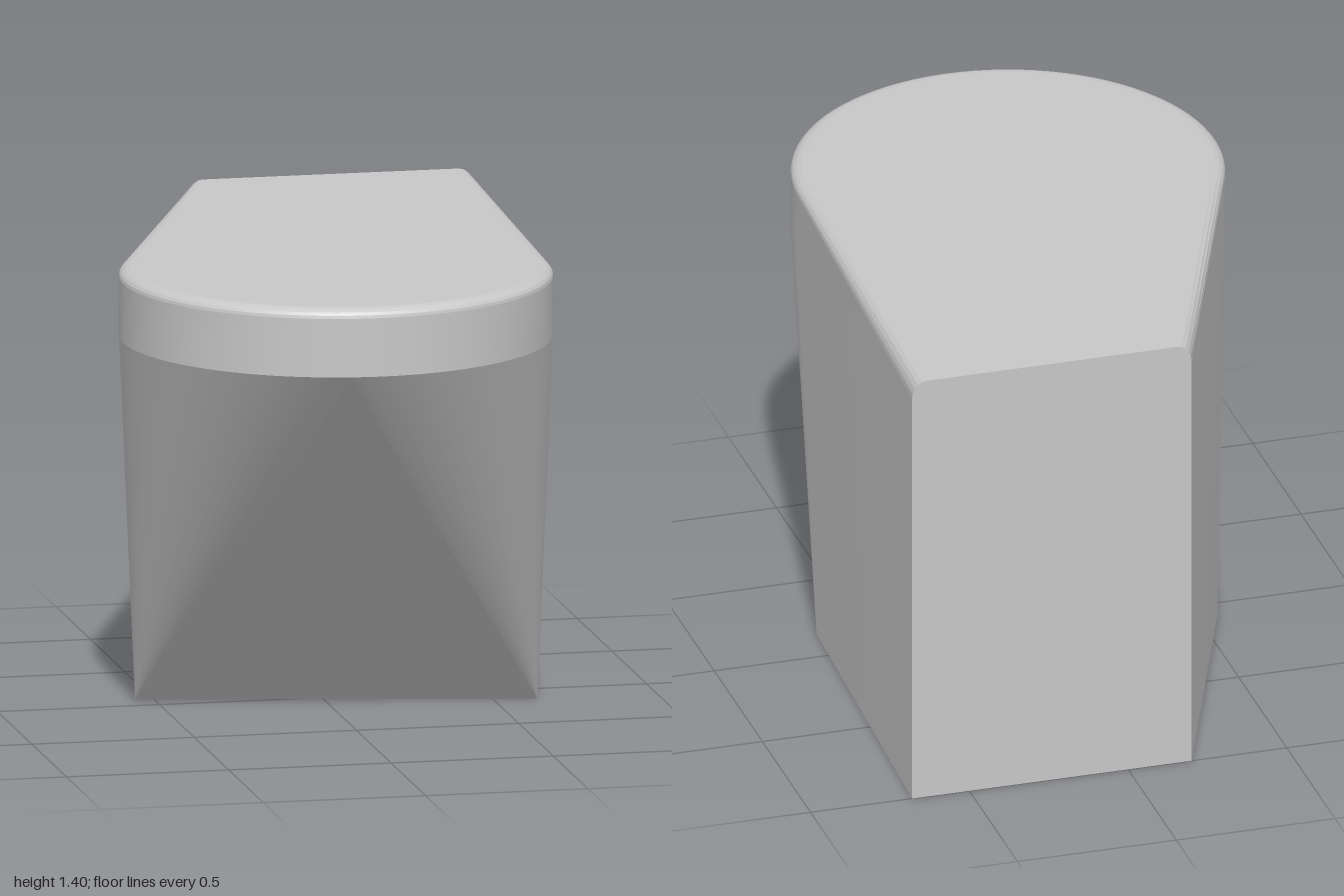
import * as THREE from 'three';
import { toCreasedNormals } from 'three/addons/utils/BufferGeometryUtils.js';

const TOP = 1.4, RIM = 1.19;
const CENTRE = [-0.03, 0.345], RADIUS = 0.655;
const ARC = 48, FILLET = 5;
const BACK_LEFT = [-0.2, -1], BACK_RIGHT = [0.68, -1];
const FOOT_LEFT = [-0.557, -0.09], FOOT_RIGHT = [0.632, 0.15];

// Outline of the top: two straight sides tangent to a round nose.
// Each point holds its position, inward direction, fillet height and foot point.
function makeOutline() {
  const pts = [{ p: BACK_LEFT, n: [1, 0], h: 0.055, foot: BACK_LEFT }];
  const start = THREE.MathUtils.degToRad(201.7), end = THREE.MathUtils.degToRad(2.3);
  // the arc point facing squarely out from the slanted foot edge divides the two fans
  const split = Math.PI / 2 + Math.atan2(FOOT_RIGHT[1] - FOOT_LEFT[1], FOOT_RIGHT[0] - FOOT_LEFT[0]);
  for (let i = 0; i <= ARC; i++) {
    const a = start + (end - start) * i / ARC;
    const c = Math.cos(a), s = Math.sin(a);
    pts.push({
      p: [CENTRE[0] + RADIUS * c, CENTRE[1] + RADIUS * s],
      n: [-c, -s], h: 0.03,
      foot: a > split ? FOOT_LEFT : FOOT_RIGHT,
    });
  }
  pts.push({ p: BACK_RIGHT, n: [-1, 0], h: 0.055, foot: BACK_RIGHT });
  return pts;
}

function bodyGeometry() {
  const outline = makeOutline();
  const inset = 0.045;

  // Cross-sections from the foot up: base, rim, then the rounded top edge
  const rings = [
    outline.map(o => [o.foot[0], 0, o.foot[1]]),
    outline.map(o => [o.p[0], RIM, o.p[1]]),
  ];
  for (let k = 0; k <= FILLET; k++) {
    const t = (k / FILLET) * Math.PI / 2;
    const d = inset * (1 - Math.cos(t));
    rings.push(outline.map(o => [
      o.p[0] + o.n[0] * d, TOP - o.h * (1 - Math.sin(t)), o.p[1] + o.n[1] * d,
    ]));
  }

  const pos = [];
  const same = (a, b) => a.every((v, i) => Math.abs(v - b[i]) < 1e-6);
  const tri = (a, b, c) => {
    if (!same(a, b) && !same(b, c) && !same(a, c)) pos.push(...a, ...b, ...c);
  };
  const quad = (a, b, c, d) => { tri(a, b, c); tri(a, c, d); };

  const last = outline.length - 1;
  for (let r = 0; r < rings.length - 1; r++) {
    const lo = rings[r], hi = rings[r + 1];
    // side walls and nose
    for (let i = 0; i < last; i++) quad(lo[i], lo[i + 1], hi[i + 1], hi[i]);
    // flat back
    quad(lo[0], hi[0], hi[last], lo[last]);
  }

  // flat top
  const top = rings[rings.length - 1], mid = [0, TOP, 0];
  for (let i = 0; i <= last; i++) tri(mid, top[i], top[(i + 1) % (last + 1)]);

  // flat underside
  const base = rings[0];
  quad(base[0], base[last], base[last - 1], base[1]);

  const geo = new THREE.BufferGeometry();
  geo.setAttribute('position', new THREE.Float32BufferAttribute(pos, 3));
  return toCreasedNormals(geo, 0.08);
}

export function createModel() {
  const group = new THREE.Group();
  group.name = 'roundedWedgeBlock';
  const grey = new THREE.MeshStandardMaterial({ color: 0xc8c8c8 });
  grey.name = 'plain grey';
  const body = new THREE.Mesh(bodyGeometry(), grey);
  body.name = 'body';
  group.add(body);
  return group;
}
